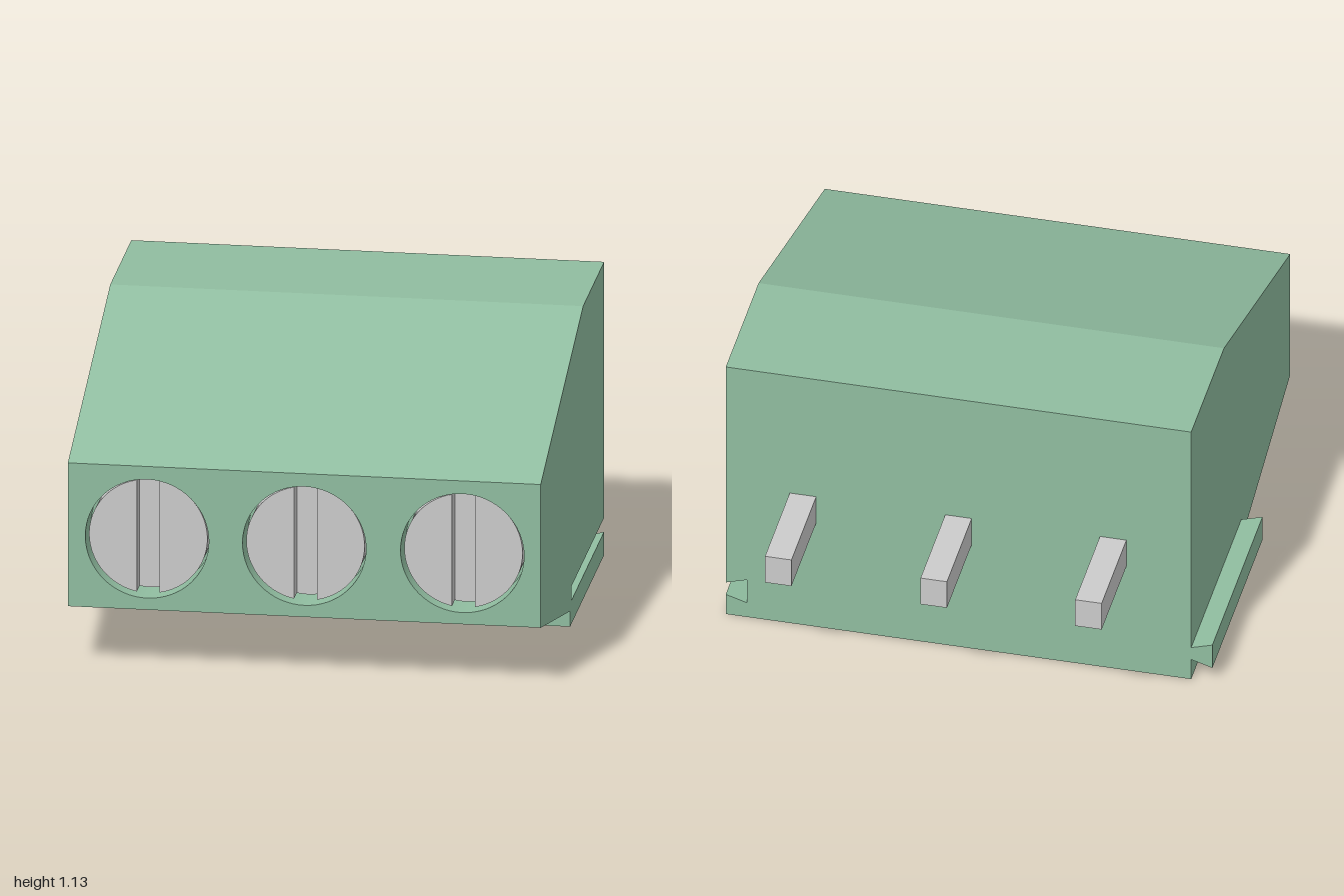
import * as THREE from 'three';

const green = new THREE.MeshStandardMaterial({ color: 0x90bda0, side: THREE.DoubleSide });
const metal = new THREE.MeshStandardMaterial({ color: 0xcccccc });

const X0 = -0.84, X1 = 0.92, BACK = -0.6, FRONT = 1, TOP = 1.135;
const POLES = [-0.545, 0.04, 0.628];
const SCREW_Y = 0.51, HOLE_R = 0.23, SCREW_R = 0.22;

const v3 = (x, y, z) => new THREE.Vector3(x, y, z);
const toShape = pts => new THREE.Shape(pts.map(p => new THREE.Vector2(p[0], p[1])));

function add(parent, name, geometry, material) {
  const mesh = new THREE.Mesh(geometry, material);
  mesh.name = name;
  parent.add(mesh);
  return mesh;
}

// Flat shape laid into the plane spanned by u and v, facing u x v
function panel(shape, u, v, origin) {
  const m = new THREE.Matrix4().makeBasis(u, v, u.clone().cross(v)).setPosition(origin);
  return new THREE.ShapeGeometry(shape, 32).applyMatrix4(m);
}

// Flat-shaded quads joining successive rows of points
function loft(rows, closed = false) {
  const pos = [];
  for (let r = 0; r + 1 < rows.length; r++) {
    const a = rows[r], b = rows[r + 1], n = a.length;
    for (let i = 0; i < (closed ? n : n - 1); i++) {
      const j = (i + 1) % n;
      for (const p of [a[i], a[j], b[j], a[i], b[j], b[i]]) pos.push(p.x, p.y, p.z);
    }
  }
  const g = new THREE.BufferGeometry();
  g.setAttribute('position', new THREE.Float32BufferAttribute(pos, 3));
  g.computeVertexNormals();
  return g;
}

// Rectangle around a pole in a horizontal plane
const rect = (x, hw, z0, z1, y) =>
  [v3(x - hw, y, z0), v3(x - hw, y, z1), v3(x + hw, y, z1), v3(x + hw, y, z0)];

function buildHousing() {
  const g = new THREE.Group();
  g.name = 'housing';
  const px = v3(1, 0, 0), nx = v3(-1, 0, 0), py = v3(0, 1, 0), pz = v3(0, 0, 1), nz = v3(0, 0, -1);

  // Top, sloped face and underside swept across the width
  const sweep = pts => loft([pts.map(p => v3(X0, p[1], p[0])), pts.map(p => v3(X1, p[1], p[0]))]);
  add(g, 'topFaces', sweep([[BACK, TOP], [-0.07, TOP], [FRONT, 0.79]]), green);
  add(g, 'undersideSlope', sweep([[FRONT, 0.235], [0.26, 0.06], [0.26, 0]]), green);

  // Side walls, one with the mouth of the dovetail groove
  const outline = [[BACK, 0], [0.26, 0], [0.26, 0.06], [FRONT, 0.235], [FRONT, 0.79], [-0.07, TOP], [BACK, TOP]];
  const notch = [[BACK, 0.145], [0.22, 0.145], [0.22, 0.09], [BACK, 0.09]];
  add(g, 'rightWall', panel(toShape(outline), pz, py, v3(X0, 0, 0)), green);
  add(g, 'leftWall', panel(toShape([...outline, ...notch].map(p => [-p[0], p[1]])), nz, py, v3(X1, 0, 0)), green);

  // Back wall with the groove's end profile
  const groove = [[X1, 0.09], [0.84, 0.065], [0.84, 0.17], [X1, 0.145]];
  const back = [[X0, 0], [X1, 0], ...groove, [X1, TOP], [X0, TOP]];
  add(g, 'backWall', panel(toShape(back.map(p => [-p[0], p[1]])), nx, py, v3(0, 0, BACK)), green);
  add(g, 'grooveWalls', loft([BACK, 0.22].map(z => groove.map(p => v3(p[0], p[1], z)))), green);
  add(g, 'grooveEnd', panel(toShape(groove), px, py, v3(0, 0, 0.22)), green);

  // Dovetail rail on the opposite side
  const rail = new THREE.ExtrudeGeometry(
    toShape([[X0, 0.09], [X0, 0.145], [-0.92, 0.17], [-0.92, 0.065]]), { depth: 0.81, bevelEnabled: false });
  add(g, 'dovetailRail', rail, green).position.z = BACK;

  // Front wall with round screw holes, bottom with wire entries
  const front = toShape([[X0, 0.235], [X1, 0.235], [X1, 0.79], [X0, 0.79]]);
  const bottom = toShape([[X0, BACK], [X1, BACK], [X1, 0.26], [X0, 0.26]]);
  for (const x of POLES) {
    front.holes.push(new THREE.Path().absarc(x, SCREW_Y, HOLE_R, 0, Math.PI * 2, true));
    const mouth = rect(x, 0.22, -0.4, 0.14, 0);
    bottom.holes.push(new THREE.Path(mouth.map(p => new THREE.Vector2(p.x, p.z))));

    // Funnel, straight shaft and its end
    const end = rect(x, 0.15, -0.23, -0.03, 0.45);
    add(g, 'wireEntry', loft([mouth, rect(x, 0.15, -0.23, -0.03, 0.08), end], true), green);
    add(g, 'wireEntryEnd', loft([[end[0], end[3]], [end[1], end[2]]]), green);

    // Lining and floor of the screw hole
    const lining = new THREE.CylinderGeometry(HOLE_R, HOLE_R, 0.14, 64, 1, true).rotateX(Math.PI / 2);
    add(g, 'screwHole', lining, green).position.set(x, SCREW_Y, 0.93);
    add(g, 'screwHoleFloor', new THREE.CircleGeometry(HOLE_R, 64), green).position.set(x, SCREW_Y, 0.86);
  }
  add(g, 'frontWall', panel(front, px, py, v3(0, 0, FRONT)), green);
  add(g, 'bottomWall', panel(bottom, px, pz, v3(0, 0, 0)), green);
  return g;
}

// Slotted screw head: a disc carrying two half-round lands
function buildScrew() {
  const g = new THREE.Group();
  g.name = 'screw';
  add(g, 'screwBase', new THREE.CylinderGeometry(SCREW_R, SCREW_R, 0.04, 64).rotateX(Math.PI / 2), metal).position.z = 0.02;
  const t = Math.acos(0.0425 / SCREW_R);
  const land = new THREE.Shape().absarc(0, 0, SCREW_R, -t, t, false);
  const geo = new THREE.ExtrudeGeometry(land, { depth: 0.07, bevelEnabled: false, curveSegments: 32 });
  for (const turn of [0, Math.PI]) {
    const half = add(g, 'screwHalf', geo, metal);
    half.position.z = 0.04;
    half.rotation.z = turn;
  }
  return g;
}

export function createModel() {
  const model = new THREE.Group();
  model.name = 'terminalBlock';
  model.add(buildHousing());
  for (const x of POLES) {
    const screw = buildScrew();
    screw.position.set(x, SCREW_Y, 0.86);
    model.add(screw);
    add(model, 'pin', new THREE.BoxGeometry(0.1, 0.12, 0.4), metal).position.set(x, 0.537, -0.8);
  }
  return model;
}
